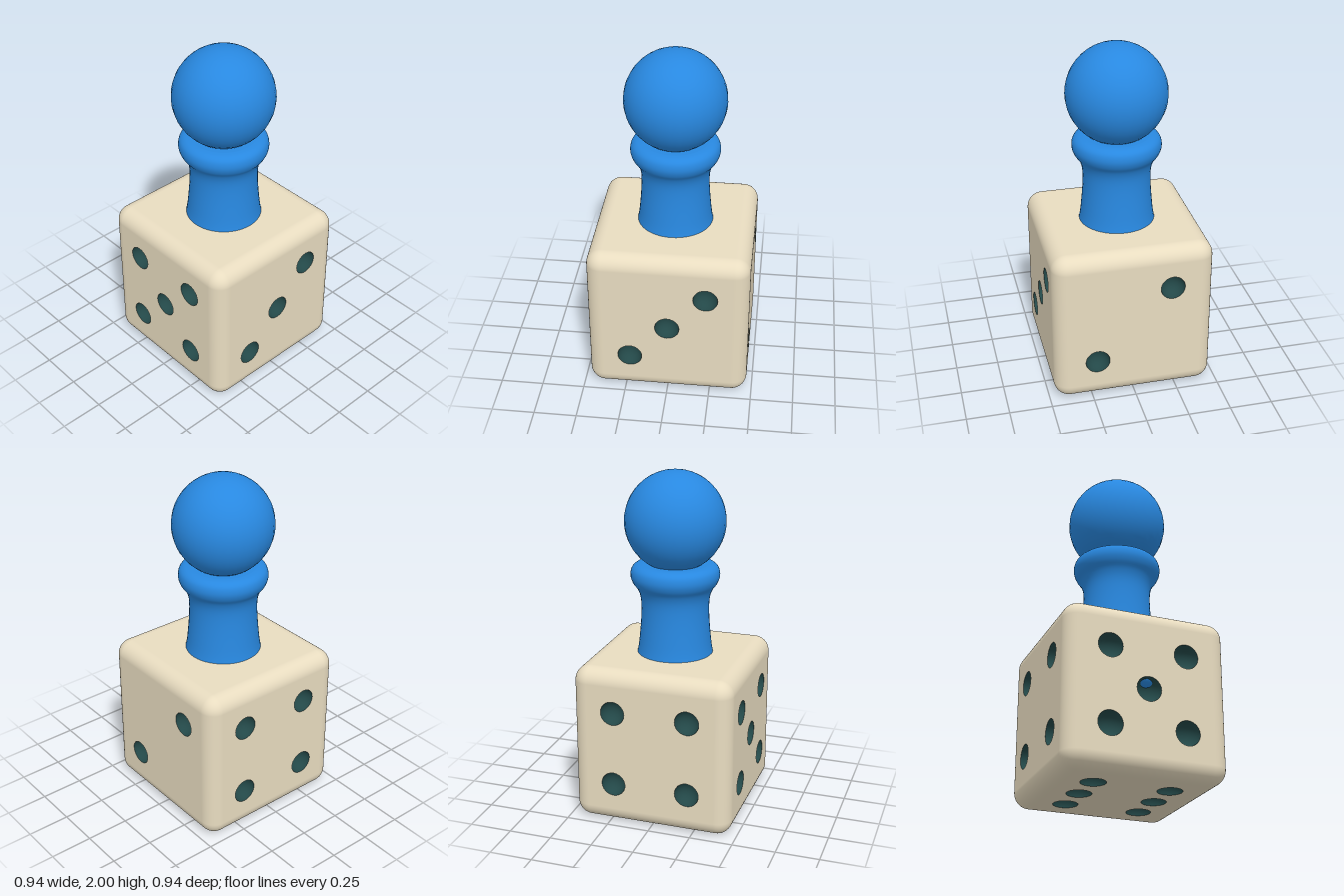
import * as THREE from 'three';
import { RoundedBoxGeometry } from 'three/addons/geometries/RoundedBoxGeometry.js';

const SIZE = 0.936, HALF = SIZE / 2, ROUND = 0.09, PIP = 0.071, STEP = 0.22;

const ivory = new THREE.MeshStandardMaterial({ color: 0xe8dcc0 });
const dark = new THREE.MeshStandardMaterial({ color: 0x234848, side: THREE.DoubleSide });
const blue = new THREE.MeshStandardMaterial({ color: 0x2888e0 });

function add(parent, name, geometry, material) {
  const mesh = new THREE.Mesh(geometry, material);
  mesh.name = name;
  parent.add(mesh);
  return mesh;
}

// Rounded edges and corners only: the flat middle of each side is left out
function edgeFrame() {
  const source = new RoundedBoxGeometry(SIZE, SIZE, SIZE, 6, ROUND);
  const box = source.index ? source.toNonIndexed() : source;
  const p = box.attributes.position, n = box.attributes.normal;
  const positions = [], normals = [];
  for (let i = 0; i < p.count; i += 3) {
    const corners = [i, i + 1, i + 2];
    const flat = ['getX', 'getY', 'getZ'].some((get) =>
      corners.every((k) => Math.abs(p[get](k)) > HALF - 1e-4));
    if (flat) continue;
    for (const k of corners) {
      positions.push(p.getX(k), p.getY(k), p.getZ(k));
      normals.push(n.getX(k), n.getY(k), n.getZ(k));
    }
  }
  const frame = new THREE.BufferGeometry();
  frame.setAttribute('position', new THREE.Float32BufferAttribute(positions, 3));
  frame.setAttribute('normal', new THREE.Float32BufferAttribute(normals, 3));
  return frame;
}

// One flat side with a round hole and a hollow for every pip
function dieFace(name, pips, rx, ry) {
  const face = new THREE.Group();
  face.name = name;
  face.rotation.set(rx, ry, 0);
  const a = HALF - ROUND;
  const shape = new THREE.Shape([[-a, -a], [a, -a], [a, a], [-a, a]]
    .map(([x, y]) => new THREE.Vector2(x, y)));
  const hollow = new THREE.SphereGeometry(PIP, 24, 10, 0, Math.PI * 2, 0, Math.PI / 2);
  hollow.rotateX(-Math.PI / 2);
  for (const [u, v] of pips) {
    const hole = new THREE.Path();
    hole.absarc(u * STEP, v * STEP, PIP, 0, Math.PI * 2, true);
    shape.holes.push(hole);
    add(face, 'pip', hollow, dark).position.set(u * STEP, v * STEP, HALF);
  }
  add(face, name + 'Panel', new THREE.ShapeGeometry(shape, 12), ivory).position.z = HALF;
  return face;
}

export function createModel() {
  const model = new THREE.Group();
  model.name = 'pawnOnDie';

  // Die
  const die = new THREE.Group();
  die.name = 'die';
  die.position.y = HALF;
  add(die, 'roundedEdges', edgeFrame(), ivory);
  const two = [[1, 1], [-1, -1]];
  const three = [...two, [0, 0]];
  const four = [...two, [-1, 1], [1, -1]];
  const five = [...four, [0, 0]];
  const six = [...four, [-1, 0], [1, 0]];
  const q = Math.PI / 2;
  die.add(
    dieFace('frontFace', five, 0, 0),
    dieFace('leftFace', three, 0, q),
    dieFace('backFace', two, 0, 2 * q),
    dieFace('rightFace', four, 0, -q),
    dieFace('bottomFace', six, q, 0),
    dieFace('topFace', [], -q, 0),
  );
  model.add(die);

  // Pawn: its wide foot is sunk into the die and just shows in the middle pips
  const pawn = new THREE.Group();
  pawn.name = 'pawn';
  const profile = new THREE.SplineCurve([
    [0.39, 0.49], [0.43, 0.515], [0.448, 0.55], [0.43, 0.61], [0.33, 0.72], [0.25, 0.84],
    [0.219, 0.94], [0.204, 1.06], [0.196, 1.18], [0.199, 1.26], [0.216, 1.315],
    [0.244, 1.355], [0.257, 1.395], [0.25, 1.435], [0.225, 1.458], [0.19, 1.466],
  ].map(([r, y]) => new THREE.Vector2(r, y)));
  const points = [new THREE.Vector2(0, 0.49), ...profile.getPoints(64), new THREE.Vector2(0, 1.466)];
  add(pawn, 'body', new THREE.LatheGeometry(points, 48), blue);
  add(pawn, 'head', new THREE.SphereGeometry(0.29, 32, 24), blue).position.y = 1.71;
  model.add(pawn);

  return model;
}
